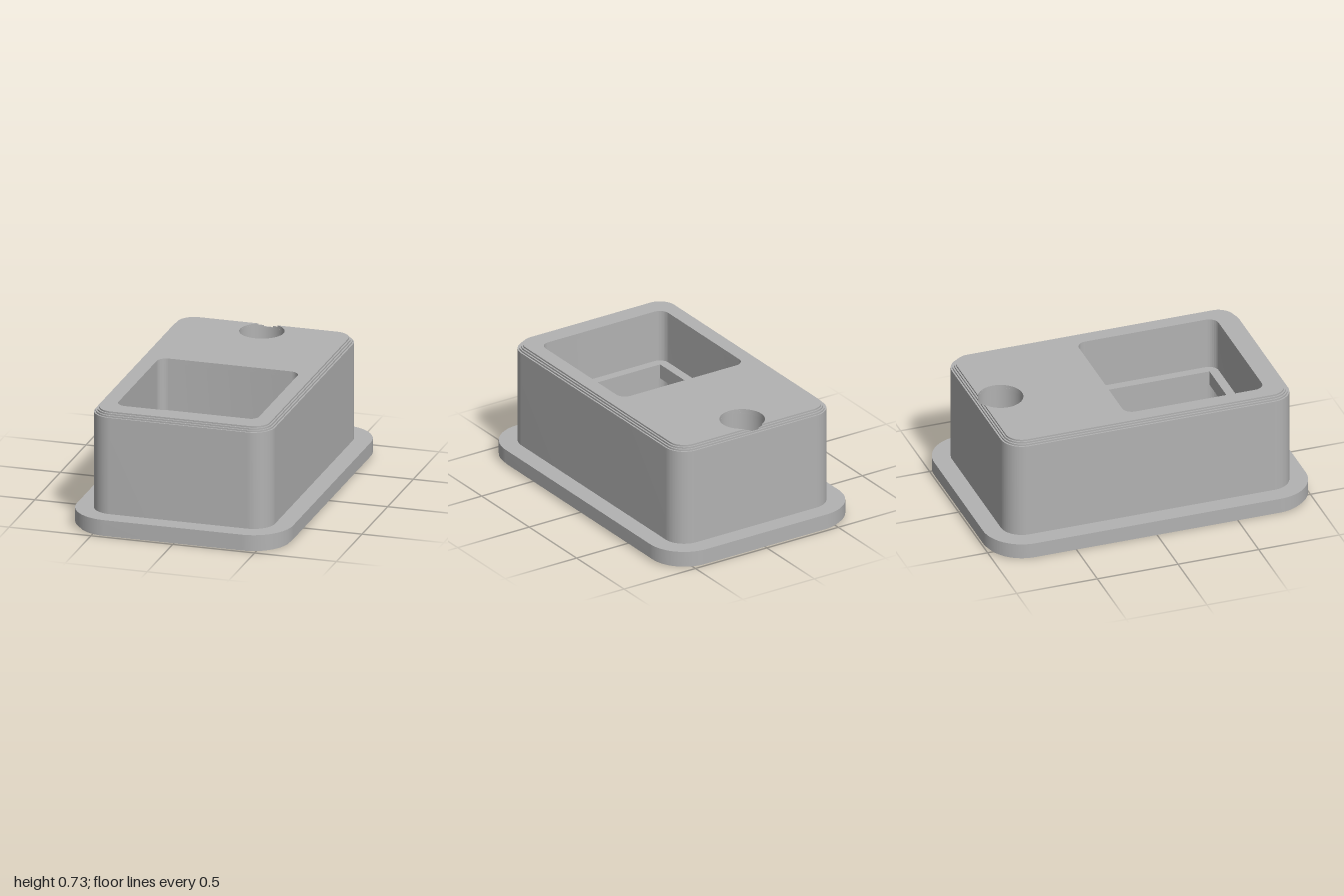
import * as THREE from 'three';
import { toCreasedNormals } from 'three/addons/utils/BufferGeometryUtils.js';

const HOLE_R = 0.133;
const BACK_HOLE = 0.74;    // distance of the back hole behind the centre
const FRONT_HOLE = -0.315; // floor hole under the pocket

// Rounded rectangle; shape y points to the model's back (-z).
// notch: the round back hole breaks through the back edge.
function roundRect(path, x0, x1, y0, y1, r, notch = false) {
  path.moveTo(x0 + r, y0);
  path.lineTo(x1 - r, y0);
  path.absarc(x1 - r, y0 + r, r, -Math.PI / 2, 0);
  path.absarc(x1 - r, y1 - r, r, 0, Math.PI / 2);
  if (notch) {
    const a = Math.asin((y1 - BACK_HOLE) / HOLE_R);
    path.absarc(0, BACK_HOLE, HOLE_R, a, Math.PI - a, true);
  }
  path.absarc(x0 + r, y1 - r, r, Math.PI / 2, Math.PI);
  path.absarc(x0 + r, y0 + r, r, Math.PI, Math.PI * 1.5);
  path.closePath();
  return path;
}

function circle(y) {
  const p = new THREE.Path();
  p.absarc(0, y, HOLE_R, 0, Math.PI * 2, true);
  return p;
}

const pocket = (path) => roundRect(path, -0.43, 0.43, -0.745, 0.12, 0.06);

export function createModel() {
  const group = new THREE.Group();
  const grey = new THREE.MeshStandardMaterial({ color: 0xb2b2b2 });

  // Upright slab between two heights
  function slab(name, shape, y0, y1) {
    let geo = new THREE.ExtrudeGeometry(shape, { depth: y1 - y0, bevelEnabled: false, curveSegments: 24 });
    geo.rotateX(-Math.PI / 2);
    geo.translate(0, y0, 0);
    geo = toCreasedNormals(geo, 0.5);
    const mesh = new THREE.Mesh(geo, grey);
    mesh.name = name;
    group.add(mesh);
  }

  // Base flange with a stepped lower edge
  [[0.02, 0, 0.01], [0.01, 0.01, 0.02], [0, 0.02, 0.105]].forEach(([inset, y0, y1], i) => {
    const w = 0.66 - inset, d = 1 - inset;
    const s = roundRect(new THREE.Shape(), -w, w, -d, d, 0.24 - inset);
    s.holes.push(circle(BACK_HOLE), circle(FRONT_HOLE));
    slab(i < 2 ? 'baseStep' + (i + 1) : 'baseFlange', s, y0, y1);
  });

  // Body with pocket and a stepped upper edge, notched where the back hole meets it
  [[0, 0.105, 0.7], [0.01, 0.7, 0.71], [0.02, 0.71, 0.72], [0.03, 0.72, 0.73]].forEach(([inset, y0, y1], i) => {
    const w = 0.55 - inset, d = 0.89 - inset;
    const notch = d < BACK_HOLE + HOLE_R;
    const s = roundRect(new THREE.Shape(), -w, w, -d, d, 0.13 - inset, notch);
    if (!notch) s.holes.push(circle(BACK_HOLE));
    s.holes.push(pocket(new THREE.Path()));
    slab(i ? 'topStep' + i : 'body', s, y0, y1);
  });

  // Lip inside the pocket with a square opening
  const lip = pocket(new THREE.Shape());
  const opening = new THREE.Path();
  opening.moveTo(-0.375, -0.69);
  opening.lineTo(-0.375, 0.06);
  opening.lineTo(0.375, 0.06);
  opening.lineTo(0.375, -0.69);
  opening.closePath();
  lip.holes.push(opening);
  slab('pocketLip', lip, 0.32, 0.41);

  return group;
}
